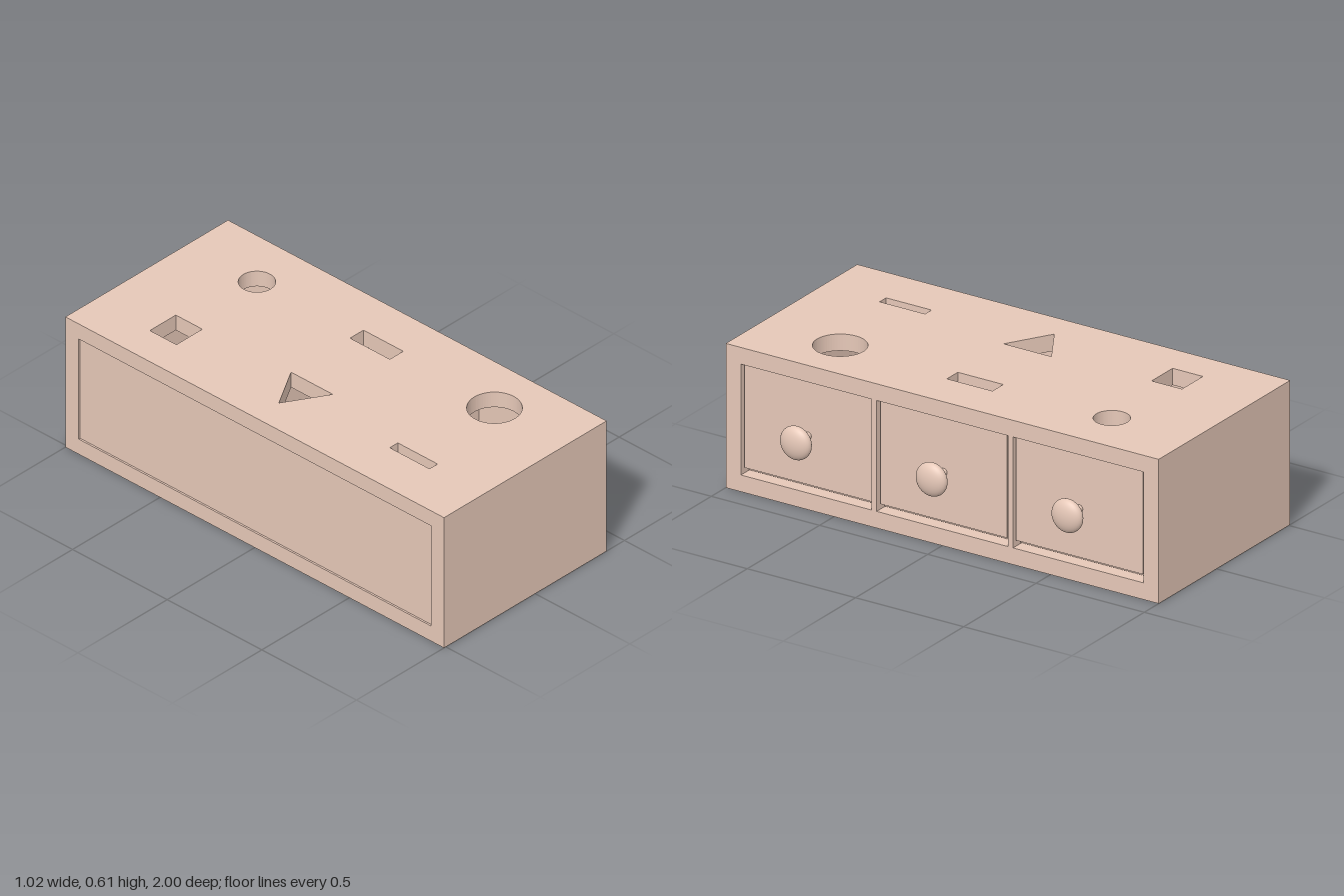
import * as THREE from 'three';

const material = new THREE.MeshStandardMaterial({ color: 0xe6c8b8 });

// Box given by its min/max extents on each axis
function box(parent, name, [x0, x1], [y0, y1], [z0, z1]) {
  const mesh = new THREE.Mesh(new THREE.BoxGeometry(x1 - x0, y1 - y0, z1 - z0), material);
  mesh.position.set((x0 + x1) / 2, (y0 + y1) / 2, (z0 + z1) / 2);
  mesh.name = name;
  parent.add(mesh);
  return mesh;
}

// Closed hole outlines in plan; z is negated so the plate can be laid flat
const polygon = (points) => new THREE.Path(points.map(([x, z]) => new THREE.Vector2(x, -z)));
const rectangle = (x0, x1, z0, z1) => polygon([[x0, z0], [x1, z0], [x1, z1], [x0, z1]]);
const circle = (x, z, r) => new THREE.Path().absarc(x, -z, r, 0, Math.PI * 2, true);

const BACK = -0.51, FRONT = 0.4, HEIGHT = 0.605, WALL = 0.07;
const CEILING = HEIGHT - WALL;

function createTop() {
  const shape = new THREE.Shape([
    new THREE.Vector2(BACK, -1), new THREE.Vector2(FRONT, -1),
    new THREE.Vector2(FRONT, 1), new THREE.Vector2(BACK, 1),
  ]);
  shape.holes.push(
    circle(0.17, -0.63, 0.072),
    circle(0.17, 0.625, 0.107),
    rectangle(-0.355, -0.21, -0.7, -0.56),
    rectangle(0.135, 0.21, -0.105, 0.105),
    rectangle(-0.305, -0.26, 0.52, 0.73),
    polygon([[-0.375, 0], [-0.19, -0.11], [-0.19, 0.11]]),
  );
  const geometry = new THREE.ExtrudeGeometry(shape, { depth: WALL, bevelEnabled: false, curveSegments: 32 });
  geometry.rotateX(-Math.PI / 2);
  const top = new THREE.Mesh(geometry, material);
  top.position.y = CEILING;
  top.name = 'topWithShapeHoles';
  return top;
}

function createKnob() {
  const knob = new THREE.Group();
  knob.name = 'knob';
  const stem = new THREE.Mesh(new THREE.CylinderGeometry(0.016, 0.016, 0.08, 20), material);
  stem.rotation.z = Math.PI / 2;
  stem.position.x = 0.42;
  stem.name = 'knobStem';
  const head = new THREE.Mesh(new THREE.SphereGeometry(0.07, 32, 20), material);
  head.scale.x = 0.49;
  head.position.x = 0.473;
  head.name = 'knobHead';
  knob.add(stem, head);
  knob.position.y = 0.305;
  return knob;
}

// Open-topped drawer, centred on z = 0
function createDrawer(halfWidth) {
  const drawer = new THREE.Group();
  drawer.name = 'drawer';
  const t = 0.03, y0 = 0.08, y1 = 0.53, x0 = BACK + 0.09, x1 = 0.39;
  const w = halfWidth;
  box(drawer, 'drawerFront', [x1 - t, x1], [y0 + 0.02, y1], [-w, w]);
  box(drawer, 'drawerBack', [x0, x0 + t], [y0, y1], [-w, w]);
  box(drawer, 'drawerFloor', [x0 + t, x1 - t], [y0, y0 + t], [-w, w]);
  for (const s of [-1, 1]) {
    const inner = s * (w - t), outer = s * w;
    box(drawer, 'drawerSide', [x0 + t, x1 - t], [y0 + t, y1],
      [Math.min(inner, outer), Math.max(inner, outer)]);
  }
  drawer.add(createKnob());
  return drawer;
}

export function createModel() {
  const model = new THREE.Group();
  model.name = 'shapeSorterBox';

  // Case
  const sides = [WALL, CEILING];
  model.add(createTop());
  box(model, 'base', [BACK, FRONT], [0, WALL], [-1, 1]);
  box(model, 'endWall', [BACK, FRONT], sides, [-1, -1 + WALL]);
  box(model, 'endWall', [BACK, FRONT], sides, [1 - WALL, 1]);
  box(model, 'backPanel', [BACK + 0.008, BACK + WALL], sides, [-1 + WALL, 1 - WALL]);
  for (const z of [-0.315, 0.315]) {
    box(model, 'divider', [BACK + WALL, FRONT], sides, [z - 0.012, z + 0.012]);
  }

  // Drawers
  for (const z of [-0.627, 0, 0.627]) {
    const drawer = createDrawer(0.293);
    drawer.position.z = z;
    model.add(drawer);
  }
  return model;
}
